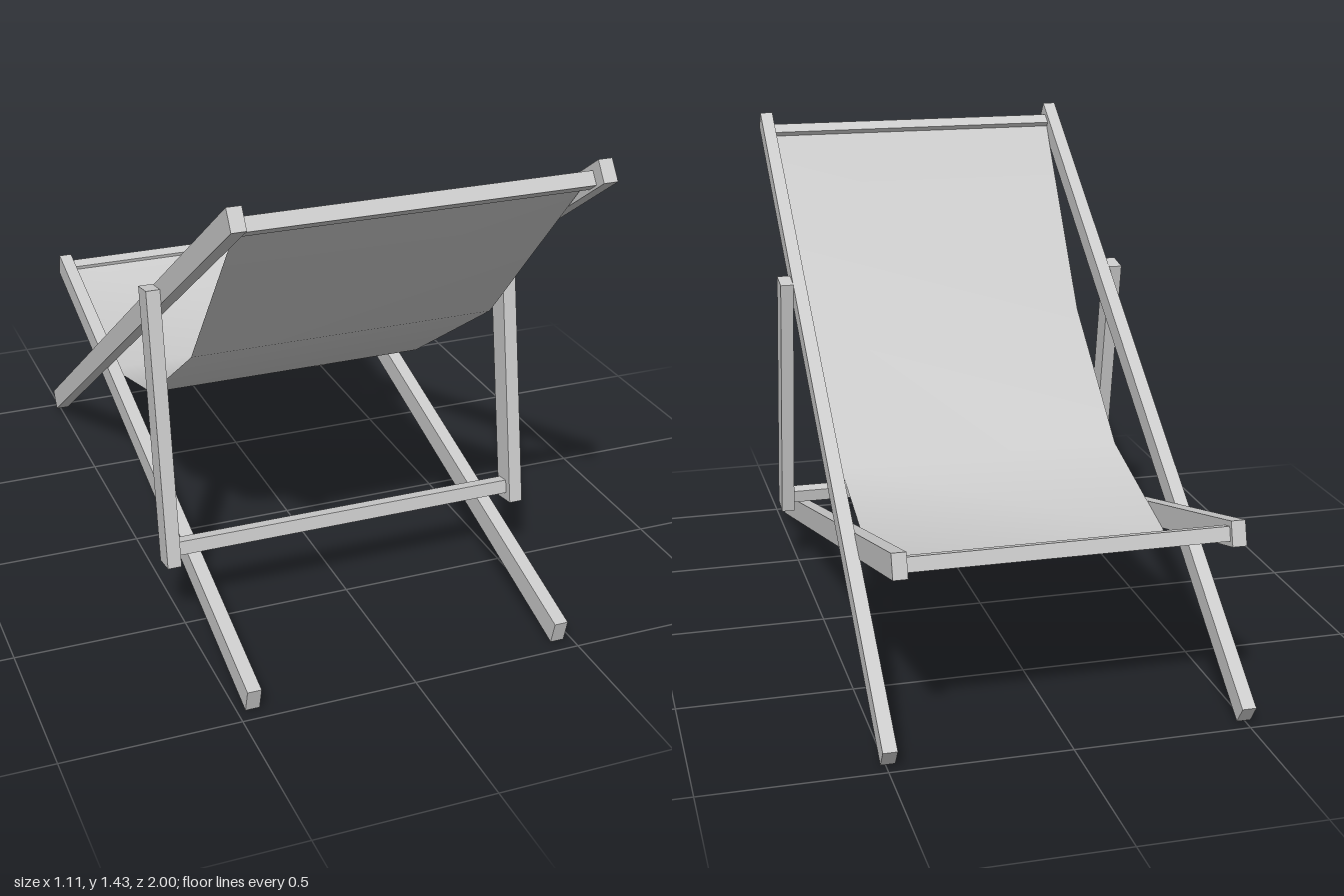
import * as THREE from 'three';

const wood = new THREE.MeshStandardMaterial({ color: 0xcccccc, flatShading: true });
const cloth = new THREE.MeshStandardMaterial({ color: 0xcccccc, side: THREE.DoubleSide });

// Straight timber in a z/y plane, from point a to point b ([z, y])
function beam(name, a, b, x, width, depth) {
  const dz = b[0] - a[0], dy = b[1] - a[1];
  const mesh = new THREE.Mesh(new THREE.BoxGeometry(width, depth, Math.hypot(dz, dy)), wood);
  mesh.position.set(x, (a[1] + b[1]) / 2, (a[0] + b[0]) / 2);
  mesh.rotation.x = -Math.atan2(dy, dz);
  mesh.name = name;
  return mesh;
}

// Square bar running across the chair, tilted to match its timbers
function crossBar(name, z, y, length, size, tilt) {
  const mesh = new THREE.Mesh(new THREE.BoxGeometry(length, size, size), wood);
  mesh.position.set(0, y, z);
  mesh.rotation.x = tilt;
  mesh.name = name;
  return mesh;
}

// Hanging cloth lofted through [z, y, halfWidth] rows
function sling(rows) {
  const pos = [], idx = [];
  rows.forEach(([z, y, w], i) => {
    pos.push(-w, y, z, w, y, z);
    if (i) {
      const k = 2 * i;
      idx.push(k - 2, k - 1, k, k - 1, k + 1, k);
    }
  });
  const geo = new THREE.BufferGeometry();
  geo.setAttribute('position', new THREE.Float32BufferAttribute(pos, 3));
  geo.setIndex(idx);
  geo.computeVertexNormals();
  const mesh = new THREE.Mesh(geo, cloth);
  mesh.name = 'slingFabric';
  return mesh;
}

export function createModel() {
  const chair = new THREE.Group();
  chair.name = 'deckChair';

  // Side timbers, mirrored
  for (const [side, s] of [['left', 1], ['right', -1]]) {
    chair.add(
      beam(side + 'BackRail', [-0.981, 0.034], [0.981, 1.411], s * 0.495, 0.04, 0.064),
      beam(side + 'SeatRail', [-0.965, 0.558], [0.965, 0.038], s * 0.457, 0.04, 0.07),
      beam(side + 'PropStrut', [0.492, 0.205], [0.357, 0.998], s * 0.535, 0.04, 0.075),
    );
  }

  // Cross bars
  chair.add(
    crossBar('topBar', 0.935, 1.373, 0.95, 0.04, -0.61),
    crossBar('seatBar', -0.932, 0.549, 0.88, 0.04, 0.263),
    crossBar('propBar', 0.479, 0.248, 1.03, 0.04, -0.17),
  );

  // Sling seat
  chair.add(sling([
    [0.93, 1.38, 0.475],
    [0.46, 0.82, 0.452],
    [0, 0.5, 0.437],
    [-0.46, 0.377, 0.437],
    [-0.932, 0.56, 0.437],
  ]));
  return chair;
}
